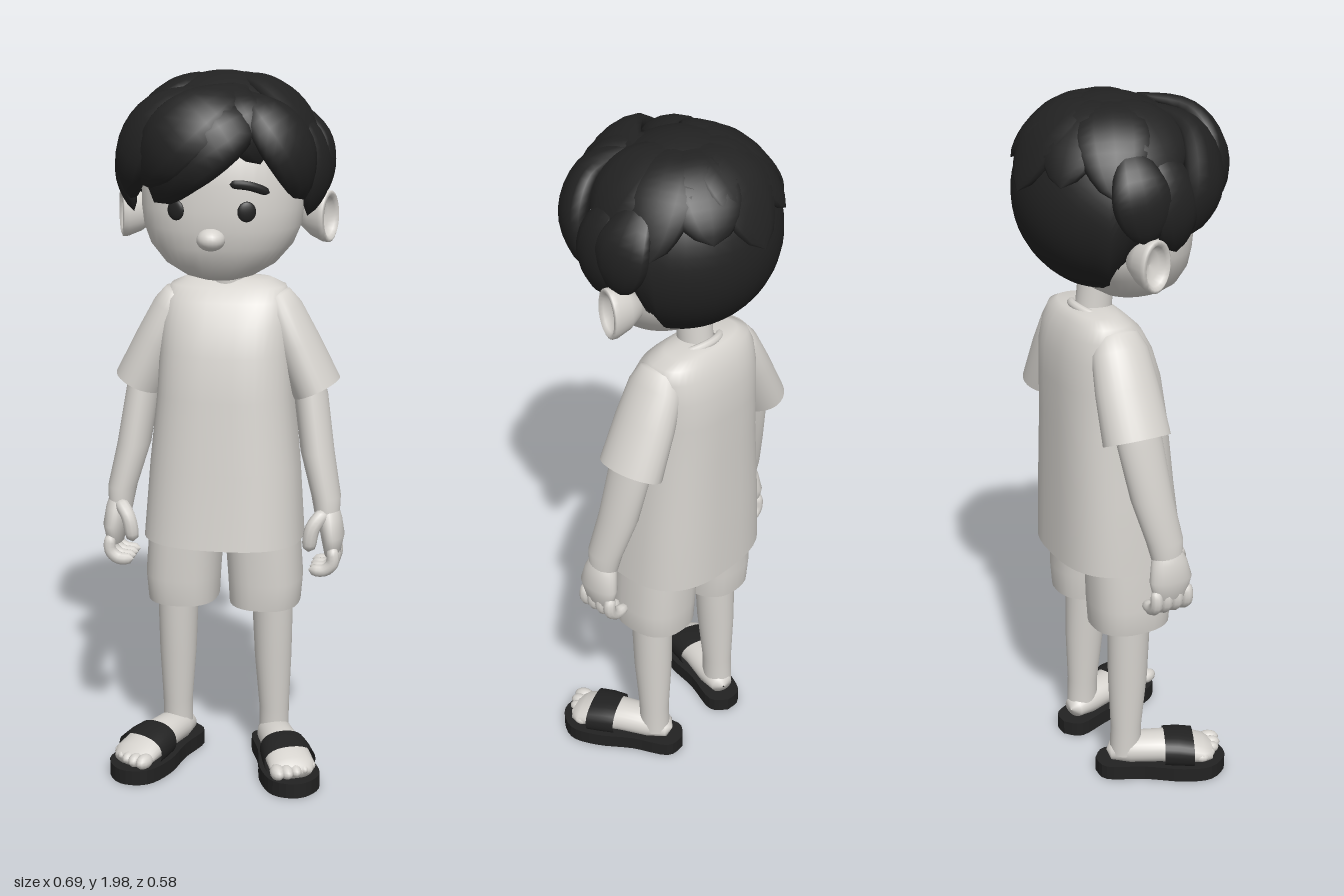
import * as THREE from 'three';
import { mergeVertices } from 'three/addons/utils/BufferGeometryUtils.js';

const V = (x, y, z) => new THREE.Vector3(x, y, z);
const pale = new THREE.MeshStandardMaterial({ color: 0xd6d3ce, side: THREE.DoubleSide });
pale.name = 'pale skin and cloth';
const black = new THREE.MeshStandardMaterial({ color: 0x222222, side: THREE.DoubleSide });
black.name = 'black';

function add(parent, name, geometry, material = pale) {
  const mesh = new THREE.Mesh(geometry, material);
  mesh.name = name;
  parent.add(mesh);
  return mesh;
}

// Joins equal rings of points into one smooth surface
function skin(rings) {
  const n = rings[0].length, index = [];
  for (let j = 0; j < rings.length - 1; j++) {
    for (let i = 0; i < n; i++) {
      const a = j * n + i, b = j * n + (i + 1) % n;
      index.push(a, a + n, b, b, a + n, b + n);
    }
  }
  const g = new THREE.BufferGeometry().setFromPoints(rings.flat());
  g.setIndex(index);
  g.computeVertexNormals();
  return g;
}

// Rows of [y, centreX, centreZ, radiusX, radiusZ], rising; a repeated row makes a crease
function loft(rows, power = 2, n = 28) {
  const e = 2 / power, pw = v => Math.sign(v) * Math.abs(v) ** e;
  return skin(rows.map(([y, cx, cz, rx, rz]) => Array.from({ length: n }, (_, i) => {
    const a = i / n * Math.PI * 2;
    return V(cx + rx * pw(Math.cos(a)), y, cz + rz * pw(Math.sin(a)));
  })));
}

// Tapered body along a curve, flattened toward a centre point
const headCentre = V(0, 1.72, -0.025);
function strand(points, w, h, profile, centre = headCentre, steps = 14, n = 12) {
  const curve = new THREE.CatmullRomCurve3(points.map(p => V(...p)));
  const rings = [];
  for (let j = 0; j <= steps; j++) {
    const t = j / steps, c = curve.getPoint(t), T = curve.getTangent(t);
    const N = c.clone().sub(centre);
    N.addScaledVector(T, -N.dot(T)).normalize();
    const S = T.clone().cross(N), k = Math.max(profile(t), 0.005);
    rings.push(Array.from({ length: n }, (_, i) => {
      const a = i / n * Math.PI * 2;
      return c.clone().addScaledVector(S, Math.cos(a) * w * k).addScaledVector(N, Math.sin(a) * h * k);
    }));
  }
  return skin(rings);
}
const leaf = t => Math.max(0, Math.sin(Math.PI * t ** 1.2)) ** 0.6;
const finger = t => Math.max(0, 1 - Math.abs(2 * t - 1) ** 6) ** 0.5;

// Hair cap: a stretched sphere whose rim height follows the hairline
function hairCap() {
  const g0 = new THREE.SphereGeometry(1, 40, 24);
  g0.deleteAttribute('uv');
  g0.deleteAttribute('normal');
  const g = mergeVertices(g0, 1e-4), p = g.attributes.position;
  for (let i = 0; i < p.count; i++) {
    const a = Math.atan2(p.getZ(i), p.getX(i)), s = Math.sin(a);
    const q = Math.acos(THREE.MathUtils.clamp(p.getY(i), -1, 1)) / Math.PI;
    const limit = 2.72 - 0.97 * THREE.MathUtils.smoothstep(s, -0.42, -0.22)
      - 0.55 * THREE.MathUtils.smoothstep(s, 0.3, 0.6);
    const polar = q * limit, r = Math.sin(polar) * (1 - 0.08 * q ** 8);
    p.setXYZ(i, 0.265 * r * Math.cos(a), 1.72 + 0.262 * Math.cos(polar), -0.025 + 0.255 * r * s);
  }
  g.computeVertexNormals();
  return g;
}

function makeHead(root) {
  const head = new THREE.Group();
  head.name = 'head';
  root.add(head);
  add(head, 'skull', loft([
    [1.43, 0, 0.04, 0.002, 0.002], [1.435, 0, 0.04, 0.05, 0.05], [1.448, 0, 0.035, 0.095, 0.09],
    [1.48, 0, 0.025, 0.15, 0.13], [1.53, 0, 0.01, 0.193, 0.168], [1.58, 0, 0, 0.213, 0.185],
    [1.63, 0, -0.002, 0.219, 0.191], [1.7, 0, -0.02, 0.223, 0.205], [1.8, 0, -0.03, 0.21, 0.205],
    [1.9, 0, -0.03, 0.14, 0.14], [1.94, 0, -0.03, 0.002, 0.002]], 2.25, 40));
  add(head, 'neck', loft([[1.34, 0, -0.075, 0.052, 0.055], [1.42, 0, -0.07, 0.047, 0.05], [1.5, 0, -0.06, 0.05, 0.05]]));
  const nose = add(head, 'nose', new THREE.SphereGeometry(1, 20, 14));
  nose.scale.set(0.038, 0.03, 0.04);
  nose.position.set(0, 1.56, 0.182);

  // Eyes, brows and ears on both sides
  const earProfile = [[0, -0.055], [0.025, -0.05], [0.045, -0.015], [0.056, 0.022], [0.056, 0.036],
    [0.049, 0.04], [0.042, 0.03], [0.032, 0.014], [0, 0.008]].map(p => new THREE.Vector2(...p));
  for (const s of [1, -1]) {
    const eye = add(head, 'eye', new THREE.SphereGeometry(1, 20, 12), black);
    eye.scale.set(0.025, 0.027, 0.009);
    eye.position.set(s * 0.094, 1.635, 0.178);
    eye.rotation.y = s * 0.38;
    add(head, 'eyebrow', strand([[s * 0.05, 1.707, 0.187], [s * 0.1, 1.702, 0.176], [s * 0.15, 1.682, 0.148]],
      0.012, 0.007, finger), black);
    const ear = add(head, 'ear', new THREE.LatheGeometry(earProfile, 24));
    ear.rotation.set(0, -s * 0.35, -s * Math.PI / 2);
    ear.scale.set(1.25, 1, 0.92);
    ear.position.set(s * 0.253, 1.597, -0.045);
  }
}

function makeHair(root) {
  const hair = new THREE.Group();
  hair.name = 'hair';
  root.add(hair);
  add(hair, 'hairCap', hairCap(), black);
  const lock = (name, w, h, ...pts) => add(hair, name, strand(pts, w, h, leaf), black);
  // Swept fringe
  lock('mainFringe', 0.1, 0.045, [0.13, 1.9, 0.13], [0.04, 1.85, 0.225], [-0.07, 1.775, 0.235], [-0.15, 1.655, 0.185]);
  lock('upperFringe', 0.1, 0.04, [0.08, 1.95, 0.06], [0, 1.9, 0.2], [-0.1, 1.81, 0.235], [-0.19, 1.7, 0.17]);
  lock('outerFringe', 0.09, 0.04, [0, 1.95, 0.06], [-0.13, 1.89, 0.15], [-0.215, 1.77, 0.14], [-0.235, 1.65, 0.09]);
  lock('sideFringe', 0.085, 0.04, [0.06, 1.94, 0.09], [0.14, 1.88, 0.16], [0.21, 1.78, 0.155], [0.235, 1.66, 0.1]);
  lock('middleFringe', 0.08, 0.035, [0.03, 1.96, 0.02], [0.06, 1.91, 0.15], [0.1, 1.85, 0.19], [0.13, 1.76, 0.185]);
  // Locks beside the ears
  for (const s of [1, -1]) {
    lock('sideburn', 0.075, 0.03, [s * 0.17, 1.91, 0], [s * 0.245, 1.81, 0.02], [s * 0.26, 1.71, 0.035], [s * 0.235, 1.61, 0.05]);
    lock('templeLock', 0.08, 0.03, [s * 0.16, 1.92, -0.06], [s * 0.25, 1.82, -0.07], [s * 0.268, 1.74, -0.06], [s * 0.265, 1.65, -0.05]);
  }
  // Crown locks fanning over the top and back
  for (const [deg, w, end] of [[12, 0.1, 1.25], [-25, 0.09, 1.35], [-60, 0.1, 1.2], [-92, 0.11, 1.4],
    [-125, 0.09, 1.25], [-158, 0.1, 1.35], [168, 0.1, 1.2]]) {
    const a = deg * Math.PI / 180;
    const pts = [0.1, 0.45, 0.85, end].map((p, i) => {
      const r = Math.sin(p) * (i === 3 ? 1.07 : 1);
      return [0.262 * r * Math.cos(a), 1.712 + 0.258 * Math.cos(p), -0.03 + 0.248 * r * Math.sin(a)];
    });
    lock('crownLock', w, 0.028, ...pts);
  }
}

function makeClothes(root) {
  add(root, 'shirt', loft([
    [0.72, 0, -0.025, 0.01, 0.01], [0.69, 0, -0.025, 0.222, 0.18], [0.69, 0, -0.025, 0.225, 0.182],
    [0.9, 0, -0.037, 0.21, 0.167], [1.1, 0, -0.045, 0.19, 0.157], [1.22, 0, -0.055, 0.185, 0.147],
    [1.3, 0, -0.066, 0.182, 0.132], [1.36, 0, -0.076, 0.175, 0.108], [1.395, 0, -0.085, 0.16, 0.08],
    [1.413, 0, -0.09, 0.12, 0.058], [1.418, 0, -0.09, 0.04, 0.03]], 2.6, 40));
  const collar = add(root, 'collar', new THREE.TorusGeometry(0.08, 0.012, 10, 36));
  collar.rotation.x = Math.PI / 2 + 0.45;
  collar.position.set(0, 1.382, -0.055);
  add(root, 'shortsSeat', loft([[0.655, 0, -0.025, 0.05, 0.06], [0.68, 0, -0.025, 0.19, 0.115], [0.8, 0, -0.025, 0.19, 0.12]], 2.4));
}

// One arm, leg and sandal, built on the +x side
function makeLimbs(side) {
  const sleeve = add(side, 'sleeve', loft([
    [-0.24, 0, 0, 0.02, 0.02], [-0.258, 0, 0, 0.066, 0.092], [-0.258, 0, 0, 0.07, 0.096],
    [-0.12, 0, 0, 0.064, 0.09], [-0.02, 0, 0, 0.057, 0.08], [0.025, 0, 0, 0.043, 0.06], [0.045, 0, 0, 0.005, 0.005]]));
  sleeve.position.set(0.145, 1.347, -0.07);
  sleeve.rotation.z = 0.43;
  add(side, 'arm', loft([[0.75, 0.297, 0.002, 0.033, 0.042], [0.82, 0.291, -0.005, 0.041, 0.053],
    [0.94, 0.262, -0.03, 0.047, 0.06], [1.1, 0.238, -0.055, 0.047, 0.065], [1.2, 0.215, -0.065, 0.04, 0.055]]));
  add(side, 'palm', loft([[0.645, 0.312, 0.003, 0.004, 0.01], [0.655, 0.312, 0.003, 0.022, 0.05], [0.71, 0.312, 0.004, 0.033, 0.063],
    [0.76, 0.303, 0.003, 0.034, 0.052], [0.8, 0.294, 0, 0.03, 0.035], [0.82, 0.292, 0, 0.004, 0.004]]));
  const beside = V(0.3, 0.65, -3);
  for (let i = 0; i < 4; i++) {
    const z = -0.042 + i * 0.031;
    add(side, 'finger', strand([[0.315, 0.69, z], [0.318, 0.64, z], [0.295, 0.617, z], [0.25, 0.617, z]],
      0.018, 0.018, finger, beside, 12, 10));
  }
  add(side, 'thumb', strand([[0.295, 0.785, 0.03], [0.262, 0.74, 0.055], [0.25, 0.67, 0.055]],
    0.021, 0.021, finger, beside, 12, 10));

  add(side, 'shortsLeg', loft([[0.52, 0.118, -0.025, 0.03, 0.03], [0.495, 0.118, -0.025, 0.095, 0.108],
    [0.495, 0.118, -0.025, 0.1, 0.113], [0.57, 0.119, -0.025, 0.105, 0.118], [0.72, 0.108, -0.025, 0.105, 0.118]], 2.4));
  add(side, 'leg', loft([[0.07, 0.143, -0.046, 0.043, 0.046], [0.16, 0.143, -0.044, 0.043, 0.045],
    [0.32, 0.14, -0.038, 0.053, 0.057], [0.54, 0.137, -0.032, 0.06, 0.062]]));

  const foot = new THREE.Group();
  foot.name = 'foot';
  foot.position.set(0.18, 0, 0.05);
  foot.rotation.y = 0.4;
  side.add(foot);
  add(foot, 'footBody', loft([[-0.157, 0, -0.07, 0.003, 0.003], [-0.145, 0, -0.07, 0.033, 0.028],
    [-0.09, 0, -0.078, 0.05, 0.045], [0, 0, -0.078, 0.055, 0.045], [0.07, 0, -0.073, 0.065, 0.042],
    [0.125, 0, -0.065, 0.066, 0.03], [0.15, 0, -0.06, 0.05, 0.02], [0.16, 0, -0.06, 0.003, 0.003]]).rotateX(Math.PI / 2));
  for (let i = 0; i < 5; i++) {
    const toe = add(foot, 'toe', new THREE.SphereGeometry(1, 12, 8));
    const r = 0.021 - i * 0.0018;
    toe.scale.set(r, r, r * 1.5);
    toe.position.set(-0.05 + i * 0.026, 0.064, 0.15 - 0.006 * (i - 1) ** 2 * 0.6);
  }
  add(foot, 'strap', loft([[0.01, 0, -0.075, 0.067, 0.049], [0.05, 0, -0.073, 0.072, 0.05],
    [0.095, 0, -0.068, 0.075, 0.046]], 2.3).rotateX(Math.PI / 2), black);
  const outline = new THREE.SplineCurve([[0, -0.19], [0.05, -0.16], [0.058, -0.05], [0.08, 0.06], [0.072, 0.145],
    [0.005, 0.19], [-0.065, 0.155], [-0.08, 0.06], [-0.058, -0.05], [-0.05, -0.16], [0, -0.19]]
    .map(p => new THREE.Vector2(...p)));
  const sole = new THREE.ExtrudeGeometry(new THREE.Shape(outline.getPoints(40)), { depth: 0.043, bevelEnabled: false });
  add(foot, 'sandalSole', sole.rotateX(Math.PI / 2).translate(0, 0.043, 0), black);
}

export function createModel() {
  const root = new THREE.Group();
  root.name = 'standingChild';
  makeHead(root);
  makeHair(root);
  makeClothes(root);
  for (const s of [1, -1]) {
    const side = new THREE.Group();
    side.name = s > 0 ? 'leftLimbs' : 'rightLimbs';
    side.scale.x = s;
    makeLimbs(side);
    root.add(side);
  }
  return root;
}
